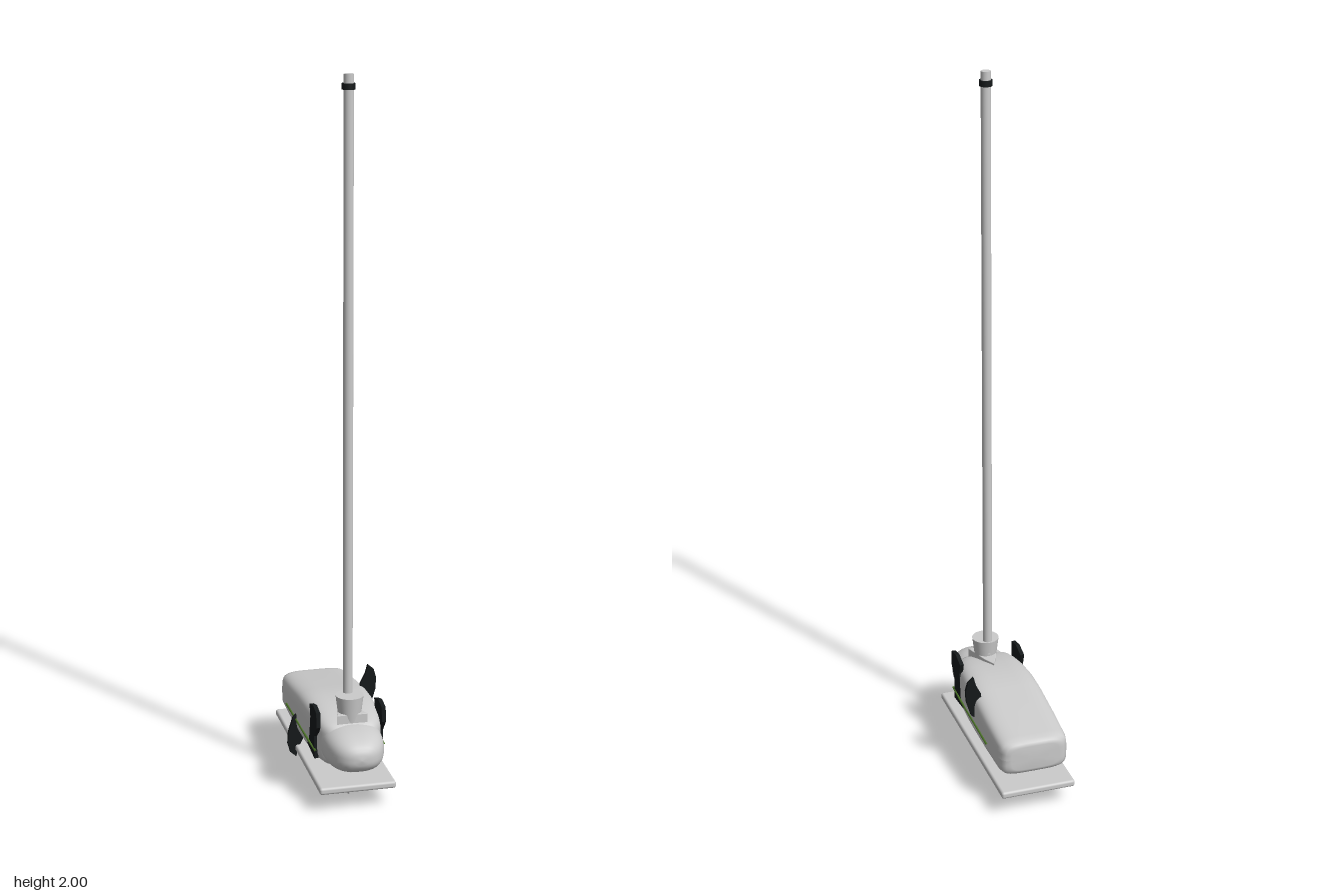
import * as THREE from 'three';
import { RoundedBoxGeometry } from 'three/addons/geometries/RoundedBoxGeometry.js';

const grey = new THREE.MeshStandardMaterial({ color: 0xcccccc, side: THREE.DoubleSide });
const black = new THREE.MeshStandardMaterial({ color: 0x15191a, side: THREE.DoubleSide });
const green = new THREE.MeshStandardMaterial({ color: 0x4f7a2a });

function add(parent, name, geometry, material, x = 0, y = 0, z = 0) {
  const mesh = new THREE.Mesh(geometry, material);
  mesh.name = name;
  mesh.position.set(x, y, z);
  parent.add(mesh);
  return mesh;
}

// Loft of superellipse sections along z; each station is [z, halfWidth, bottom, top]
function loft(stations, power, seg = 64) {
  const pos = [], idx = [];
  const bend = (v) => Math.sign(v) * Math.pow(Math.abs(v), 2 / power);
  for (const [z, w, lo, hi] of stations) {
    for (let i = 0; i <= seg; i++) {
      const a = (i / seg) * Math.PI * 2;
      pos.push(w * bend(Math.cos(a)), (lo + hi) / 2 + ((hi - lo) / 2) * bend(Math.sin(a)), z);
    }
  }
  for (let s = 0; s < stations.length - 1; s++) {
    for (let i = 0; i < seg; i++) {
      const a = s * (seg + 1) + i, b = a + seg + 1;
      idx.push(a, a + 1, b, a + 1, b + 1, b);
    }
  }
  const g = new THREE.BufferGeometry();
  g.setAttribute('position', new THREE.Float32BufferAttribute(pos, 3));
  g.setIndex(idx);
  g.computeVertexNormals();
  return g;
}

// Flat plate cut from an outline, centred on its thickness
function plate(points, depth, bevel = 0) {
  const shape = new THREE.Shape(points.map(([x, y]) => new THREE.Vector2(x, y)));
  const g = new THREE.ExtrudeGeometry(shape, {
    depth, bevelEnabled: bevel > 0, bevelSize: bevel, bevelThickness: bevel, bevelSegments: 2,
  });
  return g.translate(0, 0, -depth / 2);
}

export function createModel() {
  const model = new THREE.Group();
  model.name = 'pedalDrive';

  // Base plate
  add(model, 'basePlate', new RoundedBoxGeometry(0.216, 0.02, 0.585, 3, 0.007), grey, 0, 0.066, -0.0215);

  // Main housing: blunt rear, sloping top, rounded shoulders
  add(model, 'housing', loft([
    [-0.283, 0, 0.155, 0.155], [-0.283, 0.07, 0.12, 0.192], [-0.28, 0.085, 0.111, 0.202],
    [-0.27, 0.096, 0.104, 0.209], [-0.25, 0.101, 0.101, 0.213], [-0.15, 0.104, 0.1, 0.228],
    [-0.04, 0.105, 0.1, 0.245], [0.03, 0.104, 0.1, 0.251], [0.1, 0.099, 0.1, 0.249],
    [0.15, 0.093, 0.102, 0.242], [0.185, 0.085, 0.106, 0.234], [0.205, 0.072, 0.112, 0.225],
    [0.215, 0.05, 0.125, 0.21], [0.217, 0, 0.165, 0.165],
  ], 4.5), grey);

  // Rounded nose pushed out of the housing
  const nose = [[0.1, 0.09, 0.106, 0.226], [0.2, 0.084, 0.107, 0.227]];
  for (let i = 1; i <= 10; i++) {
    const a = (i / 10) * Math.PI / 2, r = Math.cos(a) ** 0.75;
    nose.push([0.2 + 0.112 * Math.sin(a), 0.084 * r, 0.165 - 0.058 * r, 0.165 + 0.061 * r]);
  }
  add(model, 'nose', loft(nose, 2.6), grey);
  // Seam line across the nose
  const seam = new THREE.CatmullRomCurve3([-0.054, -0.03, 0, 0.03, 0.054].map(
    (x) => new THREE.Vector3(x, 0.219 - 4.5 * x * x, 0.238)));
  add(model, 'noseSeam', new THREE.TubeGeometry(seam, 16, 0.0015, 6), black);

  // Teardrop foot behind the mast socket
  const foot = plate([[0, -0.088], [0.017, -0.125], [0.041, -0.195], [-0.041, -0.195], [-0.017, -0.125]], 0.03, 0.002);
  foot.rotateX(-Math.PI / 2);
  add(model, 'mastFoot', foot, grey, 0, 0.238, 0);

  // Flared socket, mast and the ring near its top
  add(model, 'mastSocket', new THREE.CylinderGeometry(0.039, 0.029, 0.08, 40), grey, 0, 0.262, 0.167);
  add(model, 'mast', new THREE.CylinderGeometry(0.0135, 0.0135, 1.74, 32), grey, 0, 1.13, 0.146);
  add(model, 'mastRing', new THREE.CylinderGeometry(0.018, 0.018, 0.016, 32), black, 0, 1.968, 0.146);

  // Thin keel fin passing through the base plate
  const fin = plate([[-0.19, 0.12], [-0.182, 0.075], [-0.168, 0.005], [-0.155, 0], [-0.12, 0.012], [-0.105, 0.075], [-0.095, 0.12]], 0.004);
  fin.rotateY(Math.PI / 2);
  add(model, 'keelFin', fin, grey);

  // Front side blades and side stripes
  const blade = [[-0.184, 0.262], [-0.145, 0.27], [-0.103, 0.258], [-0.113, 0.225], [-0.1, 0.165],
    [-0.07, 0.13], [-0.16, 0.12], [-0.158, 0.185], [-0.186, 0.22]];
  for (const side of [1, -1]) {
    const g = plate(blade, 0.01, 0.001);
    g.rotateY(Math.PI / 2);
    add(model, side > 0 ? 'frontBladeLeft' : 'frontBladeRight', g, black, side * 0.093, 0, 0);
    const stripe = new THREE.CatmullRomCurve3([
      new THREE.Vector3(side * 0.098, 0.146, 0.175), new THREE.Vector3(side * 0.103, 0.15, 0.08),
      new THREE.Vector3(side * 0.106, 0.154, -0.04), new THREE.Vector3(side * 0.106, 0.15, -0.17)]);
    add(model, side > 0 ? 'stripeLeft' : 'stripeRight', new THREE.TubeGeometry(stripe, 24, 0.003, 6), green);
  }

  // Rear blades: one up, one down, half a turn apart about the body axis
  const paddle = [[0.09, -0.01], [0.113, 0.01], [0.127, 0.055], [0.129, 0.09], [0.122, 0.115], [0.106, 0.129],
    [0.1, 0.105], [0.085, 0.075], [0.082, 0.03]];
  for (const turn of [0, Math.PI]) {
    const pivot = new THREE.Group();
    pivot.name = turn ? 'rearBladeLower' : 'rearBladeUpper';
    pivot.position.set(0, 0.17, -0.046);
    pivot.rotation.z = turn;
    add(pivot, 'blade', plate(paddle, 0.009, 0.001), black);
    model.add(pivot);
  }
  return model;
}
